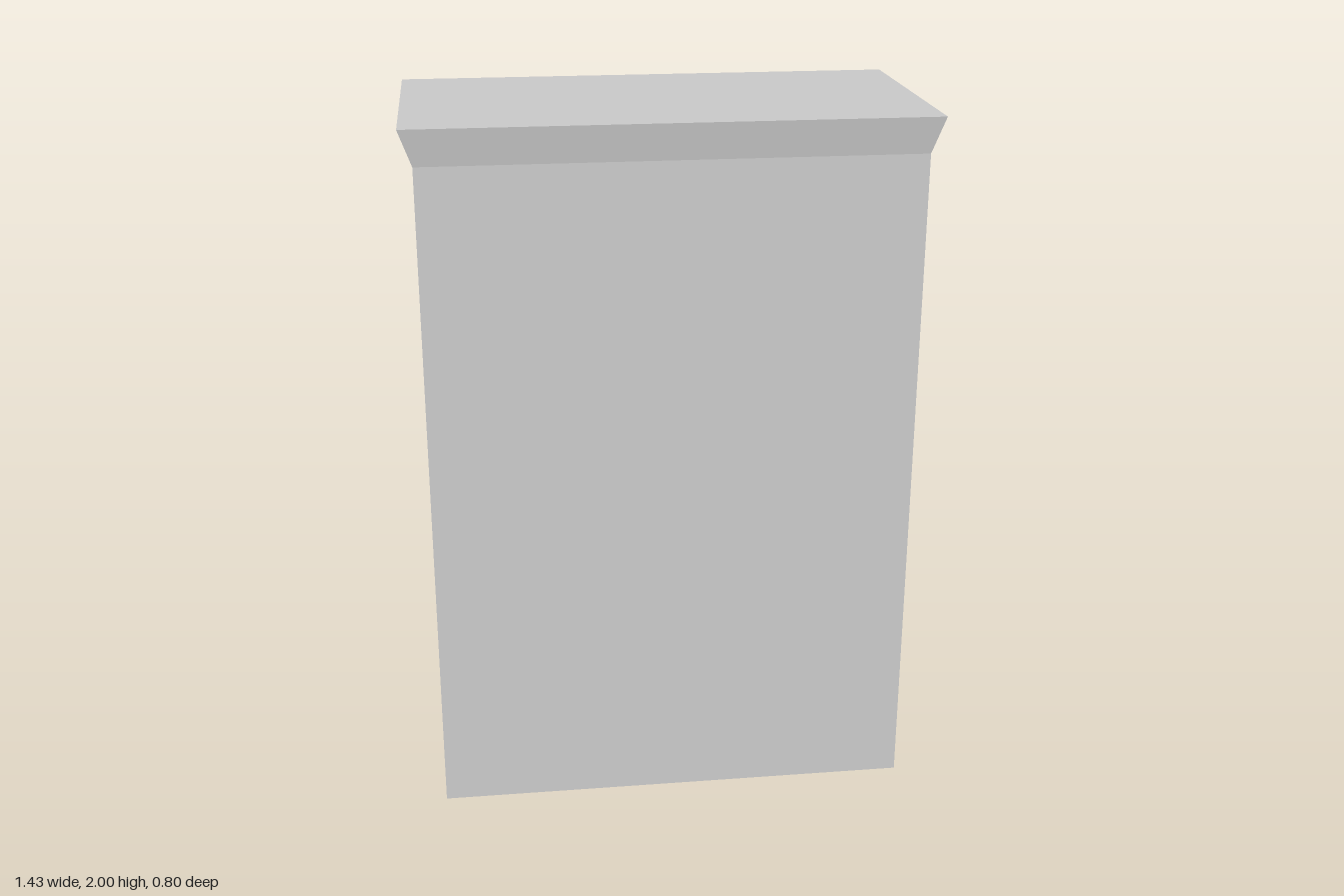
import * as THREE from 'three';

const material = new THREE.MeshStandardMaterial({ color: 0xcccccc });

function add(parent, name, geometry, x = 0, y = 0, z = 0) {
  const mesh = new THREE.Mesh(geometry, material);
  mesh.name = name;
  mesh.position.set(x, y, z);
  parent.add(mesh);
  return mesh;
}

// Counter-clockwise rectangle path
function rect(target, x0, y0, x1, y1) {
  target.moveTo(x0, y0).lineTo(x1, y0).lineTo(x1, y1).lineTo(x0, y1).closePath();
  return target;
}

// Flat board from an outer rectangle with rectangular holes
function board(outer, holes, depth) {
  const shape = rect(new THREE.Shape(), ...outer);
  for (const h of holes) shape.holes.push(rect(new THREE.Path(), ...h));
  return new THREE.ExtrudeGeometry(shape, { depth, bevelEnabled: false });
}

// Faceted loft through rectangles [halfWidth, halfHeight, z], capped on the last
function loftRects(rows) {
  const pos = [];
  const rings = rows.map(([w, h, z]) => [[-w, -h, z], [w, -h, z], [w, h, z], [-w, h, z]]);
  const quad = (a, b, c, d) => pos.push(...a, ...b, ...c, ...a, ...c, ...d);
  for (let r = 0; r < rings.length - 1; r++) {
    for (let i = 0; i < 4; i++) {
      const j = (i + 1) % 4;
      quad(rings[r][i], rings[r][j], rings[r + 1][j], rings[r + 1][i]);
    }
  }
  quad(...rings[rings.length - 1]);
  const geometry = new THREE.BufferGeometry();
  geometry.setAttribute('position', new THREE.Float32BufferAttribute(pos, 3));
  geometry.computeVertexNormals();
  return geometry;
}

export function createModel() {
  const model = new THREE.Group();
  model.name = 'wardrobe';

  // Built with the doors towards +z, then turned so they face -z
  const cabinet = new THREE.Group();
  cabinet.name = 'cabinet';
  cabinet.rotation.y = Math.PI;
  model.add(cabinet);

  const back = -0.385, inner = 0.24, front = 0.325, doorFront = 0.315;

  // Carcass and face frame
  add(cabinet, 'carcass', new THREE.BoxGeometry(1.36, 1.9, inner - back), 0, 0.95, (inner + back) / 2);
  add(cabinet, 'faceFrame',
    board([-0.68, 0, 0.68, 1.9], [[-0.61, 0.11, 0.61, 1.79]], front - inner), 0, 0, inner);

  // Flared cornice
  const cornice = loftRects([[0.68, 0.355, 0], [0.715, 0.37, 0.1]]).rotateX(-Math.PI / 2);
  add(cabinet, 'cornice', cornice, 0, 1.9, -0.03);

  // Knob: short neck and ball, turned about its axis
  const profile = [new THREE.Vector2(0.022, 0), new THREE.Vector2(0.02, 0.016)];
  for (let i = 0; i <= 12; i++) {
    const a = -0.9 + (i / 12) * (Math.PI / 2 + 0.9);
    profile.push(new THREE.Vector2(Math.max(0, 0.034 * Math.cos(a)), 0.051 + 0.034 * Math.sin(a)));
  }
  const knob = new THREE.LatheGeometry(profile, 24).rotateX(Math.PI / 2);

  // Raised panel: sloped groove around a flat field
  const panelW = 0.265, panelH = 0.36, panelX = 0.305;
  const panel = loftRects([
    [panelW, panelH, 0],
    [panelW - 0.018, panelH - 0.027, -0.06],
    [panelW - 0.036, panelH - 0.055, -0.004],
  ]);

  // Mirrored pair of doors, two panels each
  for (const side of [-1, 1]) {
    const door = new THREE.Group();
    door.name = side < 0 ? 'leftDoor' : 'rightDoor';
    cabinet.add(door);
    const cx = side * panelX;
    const holes = [0.54, 1.36].map((y) => [cx - panelW, y - panelH, cx + panelW, y + panelH]);
    add(door, 'doorFrame',
      board([cx - 0.3, 0.115, cx + 0.3, 1.785], holes, doorFront - inner), 0, 0, inner);
    for (const y of [0.54, 1.36]) add(door, 'raisedPanel', panel, cx, y, doorFront);
    add(door, 'knob', knob, side * 0.055, 0.95, doorFront);
  }

  return model;
}
